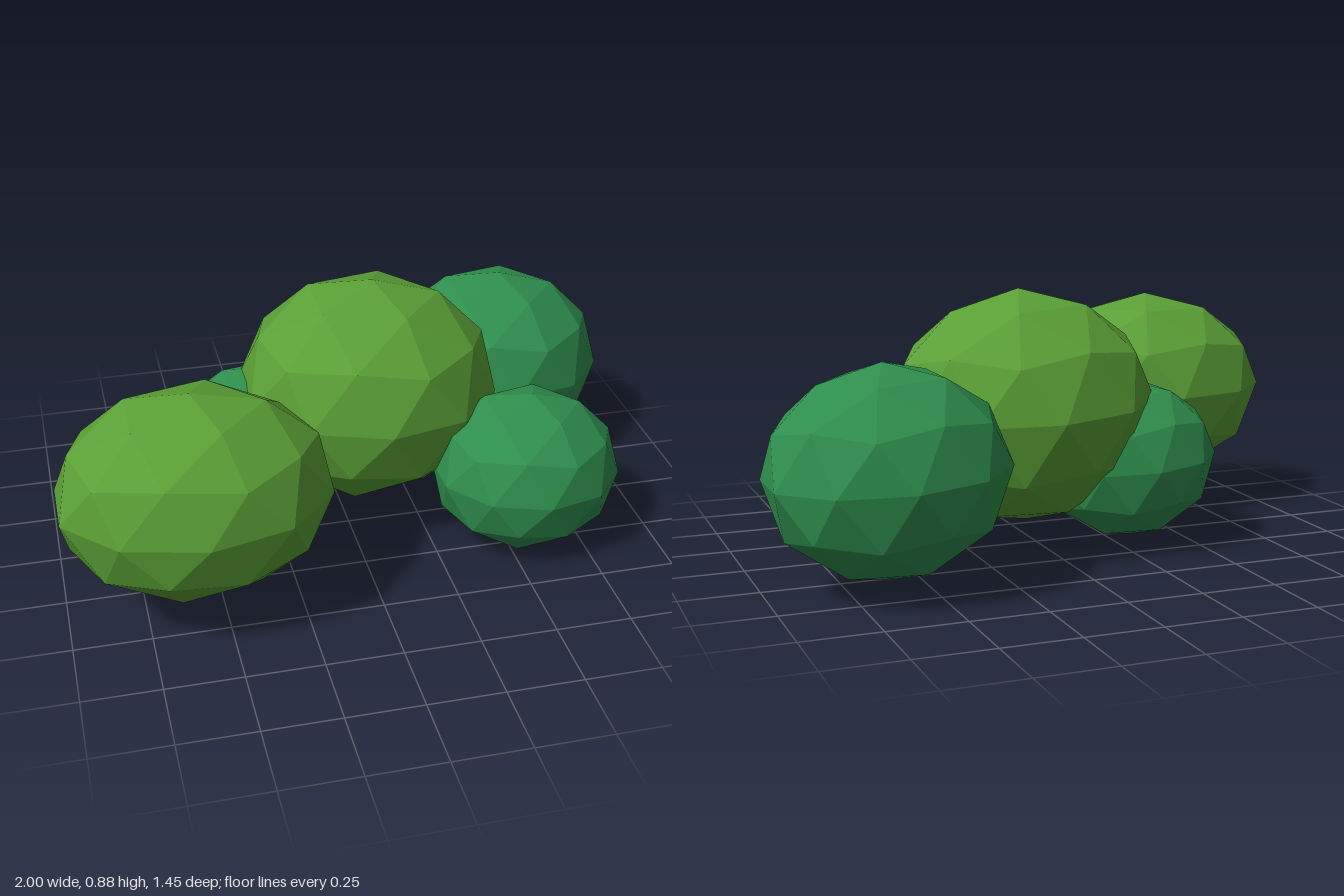
import * as THREE from 'three';

export function createModel() {
  const group = new THREE.Group();
  group.name = 'bush';

  const lightLeaves = new THREE.MeshStandardMaterial({ color: 0x5aa036, flatShading: true });
  const darkLeaves = new THREE.MeshStandardMaterial({ color: 0x2f8f4e, flatShading: true });

  // Faceted ball, turned so that one corner points straight up
  const ball = new THREE.IcosahedronGeometry(1, 1);
  ball.rotateZ(-Math.atan(2 / (1 + Math.sqrt(5))));

  // Each clump: name, material, centre, radii, sideways tilt
  const clumps = [
    ['middleClump', lightLeaves, [0.083, 0.498, -0.09], [0.444, 0.387, 0.385], -0.04],
    ['rightFrontClump', lightLeaves, [-0.58, 0.456, 0.38], [0.442, 0.343, 0.341], 0],
    ['leftBackClump', darkLeaves, [0.632, 0.38, -0.395], [0.386, 0.335, 0.334], -0.04],
    ['leftFrontClump', darkLeaves, [0.56, 0.282, 0.217], [0.318, 0.278, 0.278], -0.04],
    ['rightBackClump', darkLeaves, [-0.273, 0.304, -0.14], [0.305, 0.267, 0.267], -0.05],
  ];
  for (const [name, material, centre, radii, tilt] of clumps) {
    const clump = new THREE.Mesh(ball, material);
    clump.name = name;
    clump.position.set(...centre);
    clump.scale.set(...radii);
    clump.rotation.z = tilt;
    group.add(clump);
  }
  return group;
}
